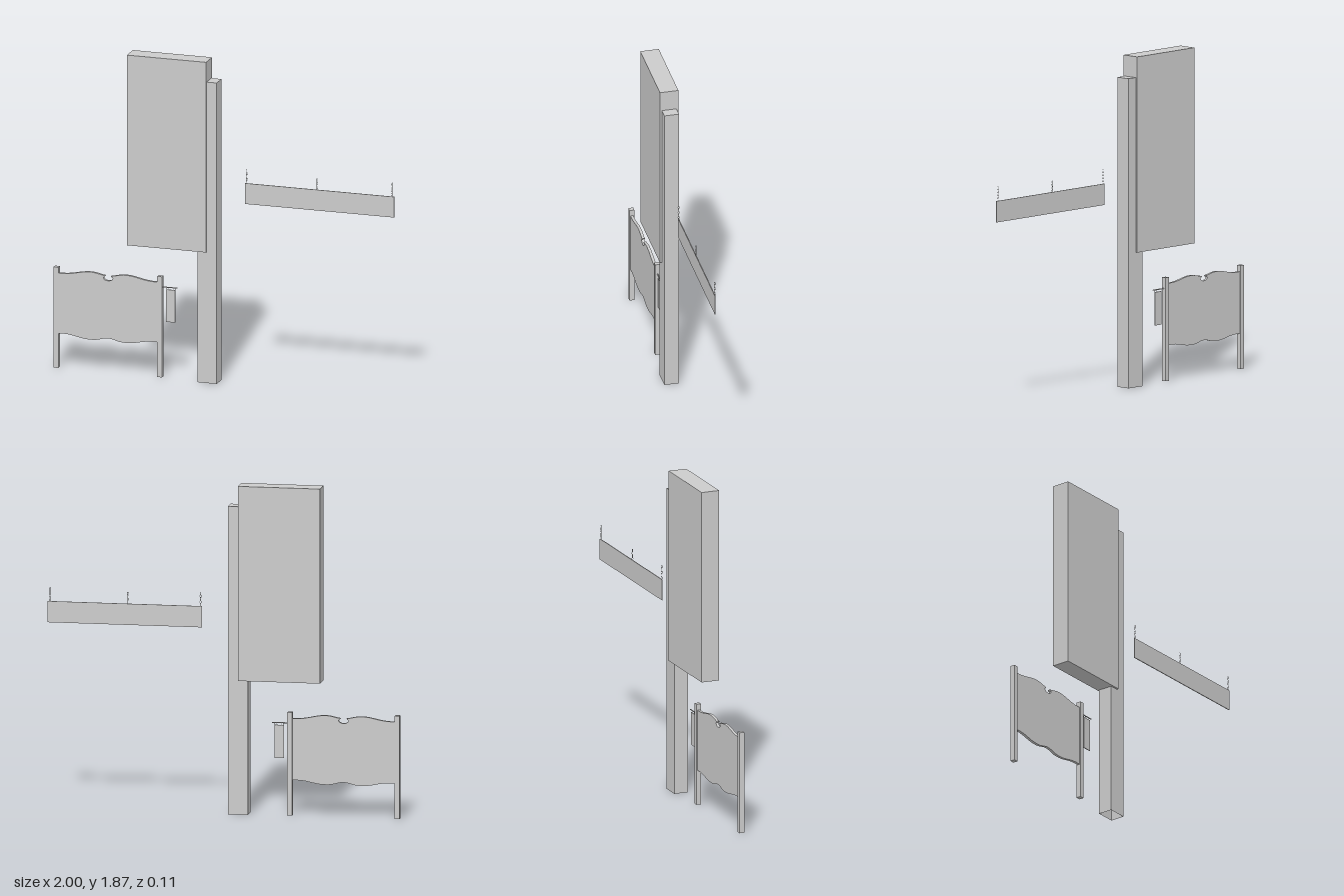
import * as THREE from 'three';

const material = new THREE.MeshStandardMaterial({ color: 0xcccccc, side: THREE.DoubleSide });

export function createModel() {
  const model = new THREE.Group();

  const add = (name, geometry, x = 0, y = 0, z = 0, parent = model) => {
    const mesh = new THREE.Mesh(geometry, material);
    mesh.name = name;
    mesh.position.set(x, y, z);
    parent.add(mesh);
    return mesh;
  };
  // Box given by its x and y limits and its depth, centred on z = 0
  const slab = (name, x0, x1, y0, y1, depth, parent) =>
    add(name, new THREE.BoxGeometry(x1 - x0, y1 - y0, depth), (x0 + x1) / 2, (y0 + y1) / 2, 0, parent);
  const group = (name) => {
    const g = new THREE.Group();
    g.name = name;
    model.add(g);
    return g;
  };

  // Tall pylon: hollow post, open at the foot, with three stacked cabinets
  const pylon = group('pylonSign');
  const post = slab('pylonPost', -0.145, -0.032, 0, 1.75, 0.084, pylon);
  const faces = Array.from(post.geometry.index.array);
  faces.splice(18, 6); // leave out the bottom face
  post.geometry.setIndex(faces);
  slab('lowerCabinet', -0.556, -0.091, 0.762, 1.286, 0.106, pylon);
  slab('middleCabinet', -0.556, -0.091, 1.286, 1.402, 0.106, pylon);
  slab('upperCabinet', -0.556, -0.091, 1.402, 1.868, 0.106, pylon);

  // Low yard sign: two posts and a panel with wavy edges and a round notch
  const yard = group('yardSign');
  slab('leftPost', -0.391, -0.363, 0, 0.585, 0.028, yard);
  slab('rightPost', -1, -0.972, 0, 0.585, 0.028, yard);
  const half = 0.291;
  const board = new THREE.Shape();
  board.moveTo(-half, 0.2);
  board.bezierCurveTo(-0.2, 0.205, -0.18, 0.18, -0.1, 0.18);
  board.bezierCurveTo(-0.05, 0.18, -0.04, 0.195, 0, 0.196);
  board.bezierCurveTo(0.04, 0.195, 0.05, 0.18, 0.1, 0.18);
  board.bezierCurveTo(0.18, 0.18, 0.2, 0.205, half, 0.2);
  board.lineTo(half, 0.55);
  board.bezierCurveTo(0.2, 0.548, 0.17, 0.573, 0.1, 0.573);
  board.bezierCurveTo(0.07, 0.573, 0.045, 0.562, 0.018, 0.56);
  board.quadraticCurveTo(0.018, 0.553, 0.028, 0.55);
  board.bezierCurveTo(0.03, 0.525, -0.03, 0.525, -0.028, 0.55);
  board.quadraticCurveTo(-0.018, 0.553, -0.018, 0.56);
  board.bezierCurveTo(-0.045, 0.562, -0.07, 0.573, -0.1, 0.573);
  board.bezierCurveTo(-0.17, 0.573, -0.2, 0.548, -half, 0.55);
  board.closePath();
  add('yardPanel',
    new THREE.ExtrudeGeometry(board, { depth: 0.016, bevelEnabled: false, curveSegments: 12 }),
    -0.6815, 0, -0.008, yard);

  // Small plate hanging from an arm on the yard post
  const arm = add('hangingArm', new THREE.CylinderGeometry(0.003, 0.003, 0.09, 8), -0.321, 0.523, 0, yard);
  arm.rotation.z = Math.PI / 2;
  slab('hangingPlate', -0.342, -0.289, 0.322, 0.51, 0.005, yard);
  for (const x of [-0.335, -0.296])
    add('plateHook', new THREE.TorusGeometry(0.007, 0.001, 4, 10), x, 0.515, 0, yard);

  // Long suspended sign with three short chains
  const suspended = group('suspendedSign');
  slab('longPanel', 0.122, 0.998, 1.05, 1.17, 0.005, suspended);
  for (const [x, links] of [[0.131, 5], [0.543, 4], [0.985, 5]]) {
    for (let i = 0; i < links; i++) {
      const link = add('chainLink', new THREE.TorusGeometry(0.004, 0.001, 4, 10), x, 1.177 + i * 0.0165, 0, suspended);
      link.scale.y = 2;
      link.rotation.y = i % 2 ? 0 : Math.PI / 2;
    }
  }

  return model;
}
